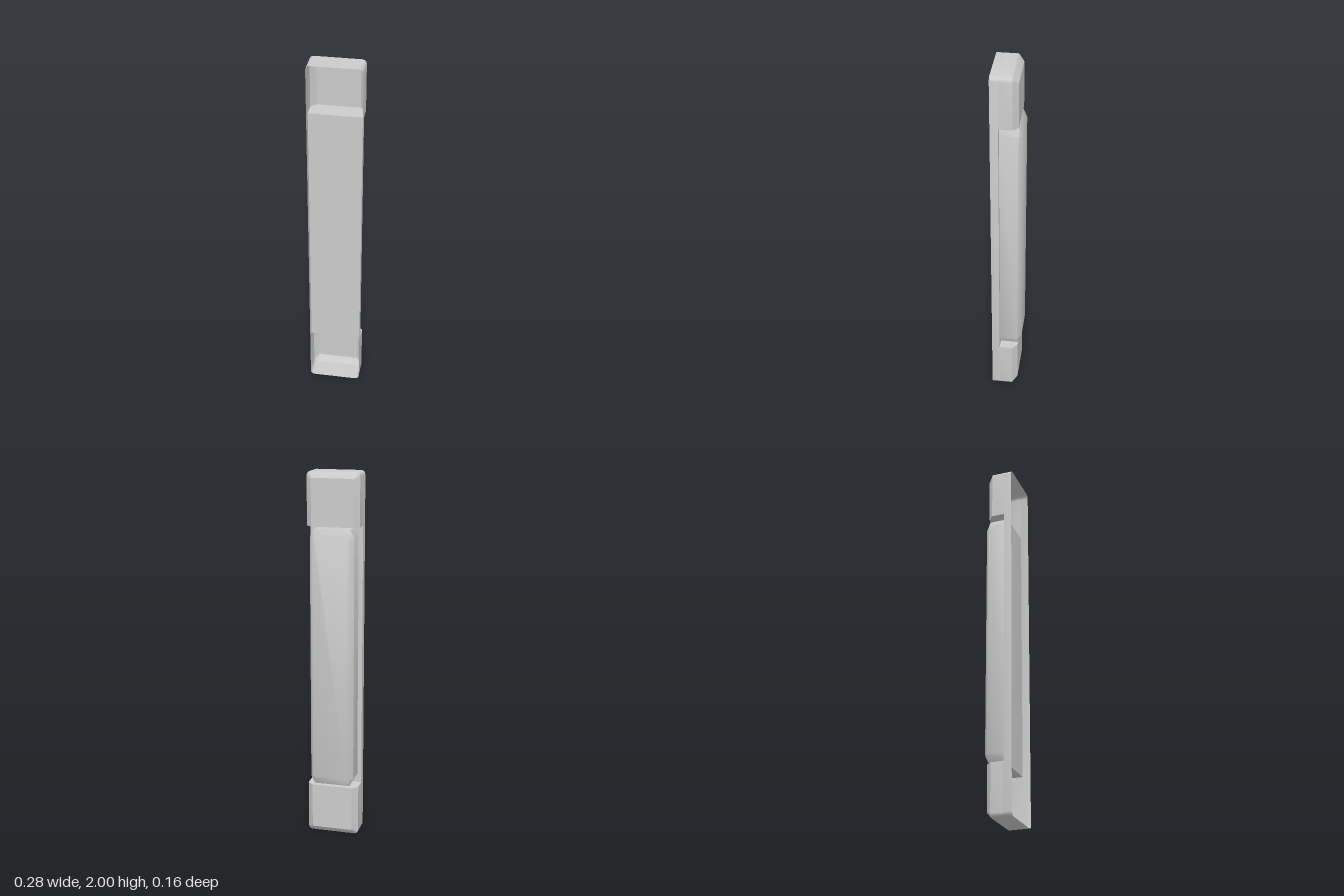
import * as THREE from 'three';
import { toCreasedNormals } from 'three/addons/utils/BufferGeometryUtils.js';

const material = new THREE.MeshStandardMaterial({ color: 0xcccccc, side: THREE.DoubleSide });

// Skin a stack of equal-length counter-clockwise outlines, ordered front to back.
function loft(name, rings, { closeBack = true, crease = 0.6 } = {}) {
  const n = rings[0].points.length;
  const positions = rings.flatMap(({ points, z }) => points.flatMap(([x, y]) => [x, y, z]));
  const index = [];
  for (let r = 0; r < rings.length - 1; r++) {
    for (let i = 0; i < n; i++) {
      const a = r * n + i, b = r * n + (i + 1) % n;
      index.push(a, a + n, b, b, a + n, b + n);
    }
  }
  if (closeBack) {
    const base = (rings.length - 1) * n;
    for (let i = 1; i < n - 1; i++) index.push(base, base + i + 1, base + i);
  }
  const geometry = new THREE.BufferGeometry();
  geometry.setAttribute('position', new THREE.Float32BufferAttribute(positions, 3));
  geometry.setIndex(index);
  const mesh = new THREE.Mesh(toCreasedNormals(geometry, crease), material);
  mesh.name = name;
  return mesh;
}

// Rounded top edge, running from the right side to the left side.
function roundedTop(halfWidth, top, radius, steps = 4) {
  const points = [];
  for (let side = 0; side < 2; side++) {
    const cx = (side ? -1 : 1) * (halfWidth - radius);
    for (let i = 0; i <= steps; i++) {
      const t = (side + i / steps) * Math.PI / 2;
      points.push([cx + radius * Math.cos(t), top - radius + radius * Math.sin(t)]);
    }
  }
  return points;
}

const W = 0.142, FRONT = 0.08, FLOOR = 0.037, INNER = 0.718;

// Outline of an end pocket: rounded at the outer end, square at the inner end.
const pocketOutline = (w, top, r) => [[-w, INNER], [w, INNER], ...roundedTop(w, top, r)];

// Rectangle with its four corners cut off.
function cutOutline(w, h, cx, cy) {
  return [[-w + cx, -h], [w - cx, -h], [w, -h + cy], [w, h - cy],
    [w - cx, h], [-w + cx, h], [-w, h - cy], [-w, -h + cy]];
}

export function createModel() {
  const group = new THREE.Group();
  group.name = 'longHandleCover';

  // Thin rim around the whole open front
  const top = roundedTop(W, 1, 0.022);
  const rim = [...top, ...top.map(([x, y]) => [-x, -y])];
  group.add(loft('rim', [{ points: rim, z: FRONT }, { points: rim, z: FLOOR }], { closeBack: false }));

  // Recessed panel between the two pockets
  const panel = new THREE.Mesh(new THREE.PlaneGeometry(2 * W, 2 * INNER), material);
  panel.name = 'recessedPanel';
  panel.position.z = FLOOR;
  group.add(panel);

  // Hollow end pockets with bevelled backs
  for (const end of [0, 1]) {
    const pocket = loft(end ? 'lowerPocket' : 'upperPocket', [
      { points: pocketOutline(W, 1, 0.022), z: FLOOR },
      { points: pocketOutline(W, 1, 0.022), z: -0.033 },
      { points: pocketOutline(0.112, 0.968, 0.009), z: -0.062 },
    ]);
    pocket.rotation.z = end * Math.PI;
    group.add(pocket);
  }

  // Raised bar on the back with softened edges and cut corners
  group.add(loft('backBar', [
    { points: cutOutline(0.119, 0.707, 0.021, 0.04), z: FLOOR },
    { points: cutOutline(0.119, 0.707, 0.021, 0.04), z: -0.06 },
    { points: cutOutline(0.098, 0.672, 0.012, 0.015), z: -0.08 },
  ], { crease: 0.9 }));

  // Stand the model on the ground
  group.children.forEach((part) => { part.position.y = 1; });
  return group;
}
